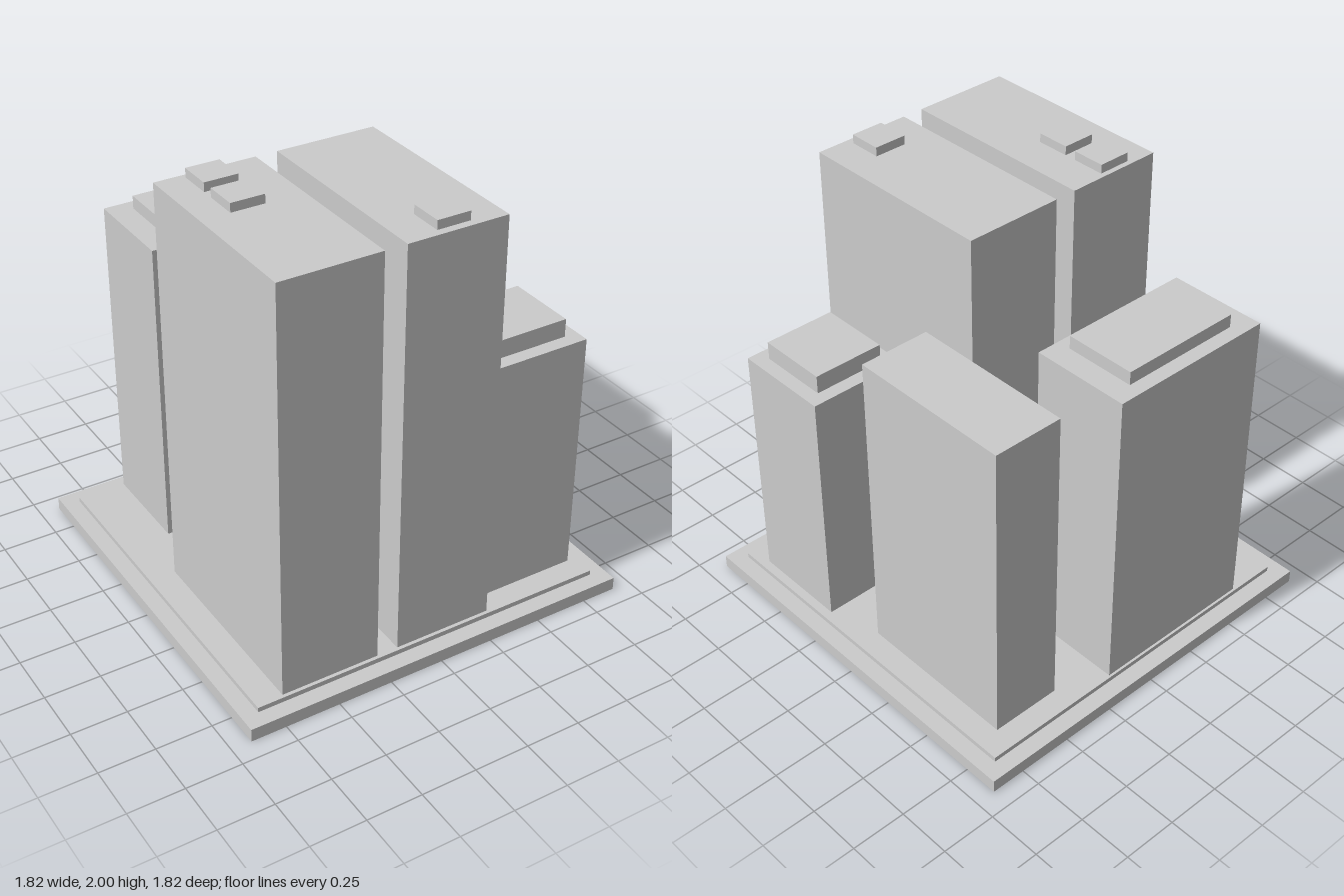
import * as THREE from 'three';
import { mergeGeometries } from 'three/addons/utils/BufferGeometryUtils.js';

const material = new THREE.MeshStandardMaterial({ color: 0xcccccc, flatShading: true, side: THREE.DoubleSide });

// A block is a footprint [x0, x1, z0, z1], a top height and the blocks standing on it.
const block = (name, rect, top, children = []) => ({ name, rect, top, children });

const corners = ([x0, x1, z0, z1]) =>
  [[x0, -z1], [x1, -z1], [x1, -z0], [x0, -z0]].map(([x, y]) => new THREE.Vector2(x, y));

// Four walls and a roof, open below; the roof is cut out under every block it carries.
function shellGeometry({ rect, top, children }, bottom) {
  const [x0, x1, z0, z1] = rect;
  const w = x1 - x0, d = z1 - z0, h = top - bottom;
  const cx = (x0 + x1) / 2, cz = (z0 + z1) / 2;

  const parts = [0, 1, 2, 3].map((i) => {
    const [width, reach] = i % 2 ? [d, w / 2] : [w, d / 2];
    return new THREE.PlaneGeometry(width, h)
      .translate(0, 0, reach)
      .rotateY(i * Math.PI / 2)
      .translate(cx, bottom + h / 2, cz);
  });

  const roof = new THREE.Shape(corners(rect));
  for (const child of children) roof.holes.push(new THREE.Path(corners(child.rect).reverse()));
  parts.push(new THREE.ShapeGeometry(roof).rotateX(-Math.PI / 2).translate(0, top, 0));

  return mergeGeometries(parts);
}

function addBlock(group, item, bottom) {
  const mesh = new THREE.Mesh(shellGeometry(item, bottom), material);
  mesh.name = item.name;
  group.add(mesh);
  for (const child of item.children) addBlock(group, child, item.top);
}

export function createModel() {
  const group = new THREE.Group();
  group.name = 'towerBlocks';

  const towers = [
    // Twin tall towers with small roof units
    block('tallTowerRight', [-0.715, -0.263, -0.112, 0.82], 1.96, [
      block('roofUnitBack', [-0.587, -0.437, -0.088, 0.063], 2),
      block('roofUnitFront', [-0.587, -0.437, 0.117, 0.268], 2),
    ]),
    block('tallTowerLeft', [-0.165, 0.288, -0.112, 0.82], 1.96, [
      block('roofUnit', [-0.013, 0.137, 0.634, 0.785], 2),
    ]),
    // Low front tower with a penthouse
    block('lowTower', [0.342, 0.796, 0.274, 0.727], 1.217, [
      block('lowPenthouse', [0.403, 0.732, 0.336, 0.664], 1.3),
    ]),
    // Rear towers
    block('rearTowerLeft', [0.403, 0.728, -0.731, 0.034], 1.52),
    block('rearTowerRight', [-0.613, 0.172, -0.825, -0.37], 1.52, [
      block('rearPenthouse', [-0.505, 0.065, -0.76, -0.433], 1.58),
    ]),
  ];

  // Stepped hollow plinth carrying all towers
  const podium = block('podium', [-0.836, 0.836, -0.836, 0.836], 0.082, towers);
  addBlock(group, block('base', [-0.91, 0.91, -0.91, 0.91], 0.06, [podium]), 0);

  return group;
}
